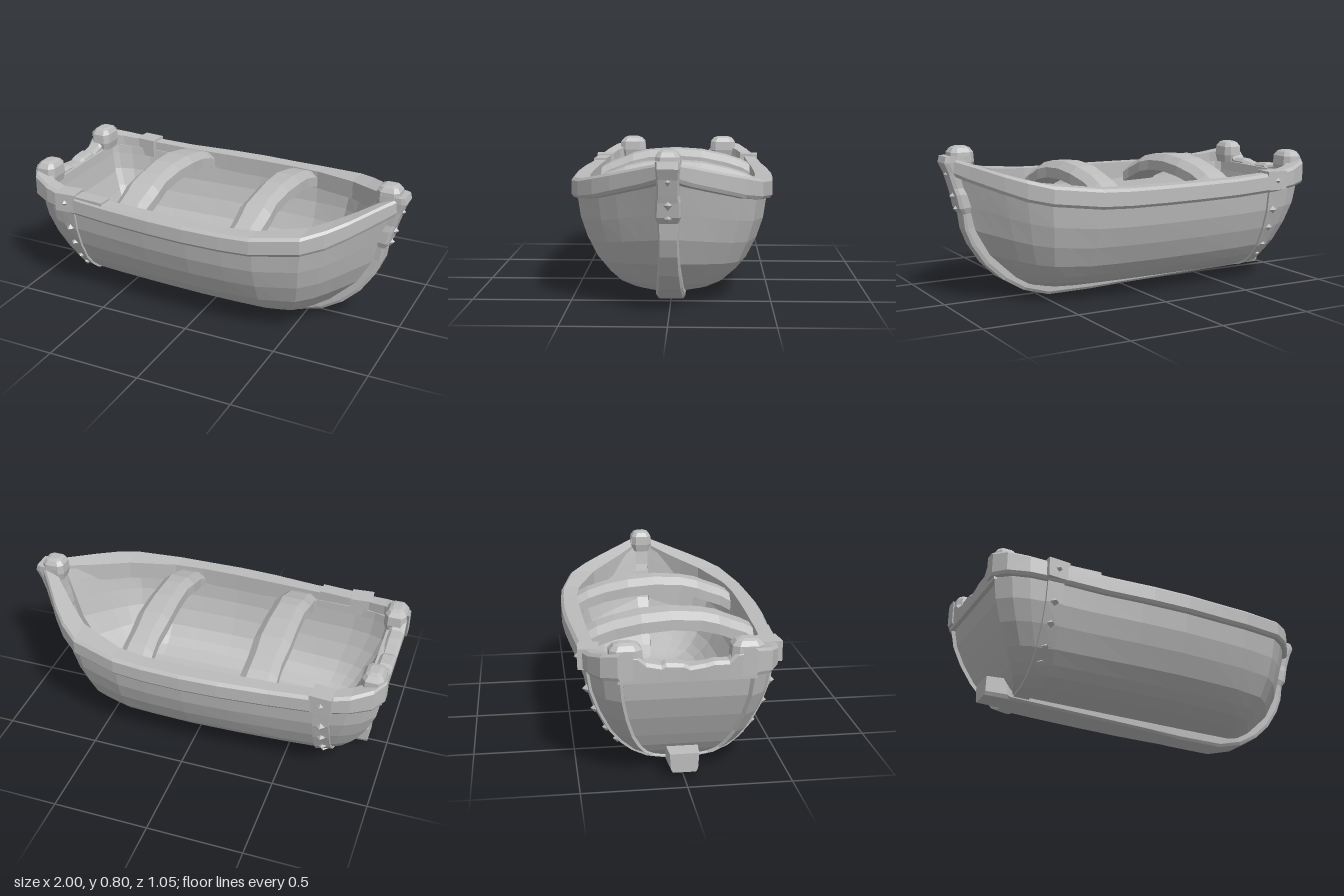
import * as THREE from 'three';

// Rail stations: x, outer half-width, inner half-width, top y, bottom y
const RAIL = [
  [-0.998, 0.32, 0.25, 0.67, 0.54], [-0.95, 0.395, 0.29, 0.655, 0.53], [-0.85, 0.445, 0.36, 0.63, 0.52],
  [-0.72, 0.475, 0.4, 0.61, 0.51], [-0.45, 0.495, 0.415, 0.6, 0.5], [-0.2, 0.517, 0.425, 0.6, 0.5],
  [0, 0.525, 0.43, 0.6, 0.5], [0.2, 0.52, 0.43, 0.6, 0.5], [0.36, 0.51, 0.41, 0.605, 0.505],
  [0.6, 0.45, 0.31, 0.63, 0.53], [0.7, 0.37, 0.22, 0.655, 0.55], [0.78, 0.28, 0.14, 0.68, 0.58],
  [0.9, 0.12, 0.02, 0.725, 0.63], [0.96, 0.045, 0, 0.745, 0.66],
];
// Hull rows: nominal y, width factor, stern x, bow x
const ROWS = [
  [0.55, 1, -0.985, 0.94], [0.5, 0.99, -0.98, 0.92], [0.4, 0.96, -0.963, 0.885], [0.3, 0.89, -0.925, 0.85],
  [0.2, 0.785, -0.875, 0.785], [0.14, 0.68, -0.84, 0.71], [0.1, 0.58, -0.81, 0.66],
  [0.068, 0.42, -0.78, 0.6], [0.054, 0.2, -0.76, 0.57], [0.05, 0, -0.76, 0.56],
];

function sample(table, x, col) {
  let i = 0;
  while (i < table.length - 2 && x > table[i + 1][0]) i++;
  const a = table[i], b = table[i + 1];
  const t = Math.min(1, Math.max(0, (x - a[0]) / (b[0] - a[0])));
  return a[col] + (b[col] - a[col]) * t;
}

// Joins closed rings into a capped solid, faces outward
function loft(rings) {
  const n = rings[0].length, tris = [], pos = [];
  const quad = (a, b, c, d) => tris.push([a, b, c], [a, c, d]);
  for (let r = 0; r < rings.length - 1; r++) {
    for (let i = 0; i < n; i++) {
      const j = (i + 1) % n;
      quad(rings[r][i], rings[r][j], rings[r + 1][j], rings[r + 1][i]);
    }
  }
  const first = rings[0], last = rings[rings.length - 1];
  for (let i = 0; i < n / 2 - 1; i++) {
    const k = n - 1 - i;
    quad(first[k], first[k - 1], first[i + 1], first[i]);
    quad(last[i], last[i + 1], last[k - 1], last[k]);
  }
  let volume = 0;
  const [A, B, C] = [new THREE.Vector3(), new THREE.Vector3(), new THREE.Vector3()];
  for (const t of tris) {
    volume += A.fromArray(t[0]).dot(B.fromArray(t[1]).cross(C.fromArray(t[2])));
  }
  for (const t of tris) pos.push(...t[0], ...(volume > 0 ? t[1] : t[2]), ...(volume > 0 ? t[2] : t[1]));
  const g = new THREE.BufferGeometry();
  g.setAttribute('position', new THREE.Float32BufferAttribute(pos, 3));
  g.computeVertexNormals();
  return g;
}

// Point on the hull skin; X is the station at rail height
function hullPoint(X, row, side, inner) {
  const [y, f, xs, xb] = row;
  const sternX = xs + (inner ? 0.05 : 0), bowX = xb - (inner ? 0.07 : 0);
  let x = X;
  if (X > 0.4) x = 0.4 + (X - 0.4) * (bowX - 0.4) / 0.54;
  if (X < -0.5) x = -0.5 + (X + 0.5) * (sternX + 0.5) / -0.485;
  const w = (sample(RAIL, X, 1) - 0.027) * (inner ? 0.88 : 1);
  const top = sample(RAIL, X, 4) + 0.05, base = inner ? 0.11 : 0.05;
  return [x, base + (top - base) * (y - 0.05) / 0.5, side * w * f];
}

// Same skin, found by its real x instead of its station
function skinAt(x, row, side) {
  const X = -0.5 - (x + 0.5) * 0.485 / (row[2] + 0.5);
  return hullPoint(Math.max(-0.985, X), row, side, false);
}

export function createModel() {
  const boat = new THREE.Group();
  boat.name = 'rowingBoat';
  const wood = new THREE.MeshStandardMaterial({ color: 0xbcbcbc, flatShading: true });
  wood.name = 'greyWood';
  const add = (name, geometry) => {
    const mesh = new THREE.Mesh(geometry, wood);
    mesh.name = name;
    boat.add(mesh);
    return mesh;
  };
  // Every hull row from the +z rail under the keel to the -z rail
  const girth = [...ROWS.map(r => [r, 1]), ...ROWS.slice(0, -1).reverse().map(r => [r, -1])];

  // Hull shell
  const stations = [-0.985, -0.92, -0.84, -0.72, -0.5, -0.25, 0, 0.2, 0.36, 0.5, 0.6, 0.7, 0.78, 0.85, 0.9, 0.94];
  add('hull', loft(stations.map(X => [
    ...girth.map(([r, s]) => hullPoint(X, r, s, false)),
    ...[...girth].reverse().map(([r, s]) => hullPoint(X, r, s, true)),
  ])));

  // Transom, slightly recessed inside the hull rim
  add('transom', loft(ROWS.map(r => {
    const [x, y, z] = hullPoint(-0.985, r, 1, false);
    const w = Math.max(0, z - 0.015), yy = y + (r[1] === 0 ? 0.01 : 0);
    return [[x + 0.015, yy, w], [x + 0.015, yy, -w], [x + 0.09, yy, -w], [x + 0.09, yy, w]];
  })));

  // Worn, notched beam across the transom
  const notches = [[-0.32, 0.665], [-0.23, 0.65], [-0.19, 0.615], [-0.12, 0.6], [-0.1, 0.61], [-0.02, 0.605],
    [0.01, 0.59], [0.08, 0.6], [0.12, 0.61], [0.19, 0.61], [0.23, 0.65], [0.32, 0.665]];
  add('transomBeam', loft(notches.map(([z, y]) => [
    [-0.985, 0.52, z], [-0.99, y - 0.015, z], [-0.975, y, z], [-0.925, y, z], [-0.91, y - 0.015, z], [-0.91, 0.52, z],
  ])));

  // Rounded post heads
  const knob = (name, x, z, y0, y1, sx, sz) => {
    const h = y1 - y0;
    add(name, loft([[0, 0.85], [0.35, 1], [0.75, 0.95], [0.93, 0.7], [1, 0.4]].map(([t, s]) =>
      [[-1, -0.6], [-0.6, -1], [0.6, -1], [1, -0.6], [1, 0.6], [0.6, 1], [-0.6, 1], [-1, 0.6]]
        .map(([a, b]) => [x + a * s * sx, y0 + h * t, z + b * s * sz]))));
  };
  knob('stemHead', 0.9, 0, 0.68, 0.8, 0.062, 0.06);

  for (const s of [1, -1]) {
    const label = s > 0 ? 'Front' : 'Back';
    // Gunwale rail
    add('rail' + label, loft(RAIL.map(([x, o, i, t, b]) => [
      [x, b, s * (o - 0.012)], [x, b + 0.015, s * o], [x, t - 0.015, s * o],
      [x, t, s * (o - 0.015)], [x, t, s * i], [x, b, s * i],
    ])));
    knob('sternPost' + label, -0.93, s * 0.28, 0.58, 0.705, 0.058, 0.078);
    // Clamp over the rail
    const clamp = add('railClamp' + label, new THREE.BoxGeometry(0.115, 0.1, 0.1));
    clamp.position.set(-0.715, 0.57, s * 0.433);
    clamp.rotation.y = s * 0.08;
    add('clampRivet' + label, new THREE.OctahedronGeometry(0.018)).position.set(-0.715, 0.57, s * 0.482);
    // Rivets down the strap
    for (const k of [2, 3, 4, 5]) {
      const p = skinAt(-0.715, ROWS[k], s);
      add('strapRivet' + label, new THREE.OctahedronGeometry(0.023)).position.set(p[0], p[1], p[2] * 1.03);
    }
  }
  // Worn patch on one rail
  const patch = add('railPatch', new THREE.BoxGeometry(0.17, 0.03, 0.075));
  patch.position.set(-0.57, 0.597, 0.44);
  patch.rotation.y = -0.07;

  // Strap wrapped around the hull
  add('hullStrap', loft(girth.map(([r, s]) => {
    const a = skinAt(-0.755, r, s), b = skinAt(-0.675, r, s);
    const out = p => [p[0], 0.55 + (p[1] - 0.55) * 1.02, p[2] * 1.03];
    const sunk = p => [p[0], p[1] + 0.01, p[2] * 0.98];
    return [out(a), out(b), sunk(b), sunk(a)];
  })));

  // Benches, gently arched down to the rails
  const arch = [[-0.43, 0.59], [-0.37, 0.62], [-0.28, 0.648], [-0.15, 0.675], [0, 0.685],
    [0.15, 0.675], [0.24, 0.655], [0.3, 0.63], [0.37, 0.605], [0.425, 0.575]];
  [[-0.375, 0.097], [0.275, 0.087]].forEach(([c, half], n) => {
    add('bench' + (n + 1), loft(arch.map(([z, y], i) => {
      const w = half - (i % 3) * 0.004, b = y - 0.09;
      return [[c - w, b, z], [c - w, y - 0.035, z], [c - w + 0.04, y, z],
        [c + w - 0.04, y, z], [c + w, y - 0.035, z], [c + w, b, z]];
    })));
  });

  // Keel and stem: outer x, y, inner x, y, half-width
  const spine = [
    [-0.9, 0.03, -0.9, 0.125, 0.065], [-0.79, 0.03, -0.79, 0.13, 0.072], [-0.77, 0.028, -0.77, 0.09, 0.07],
    [0, 0.008, 0, 0.075, 0.07], [0.2, 0, 0.2, 0.075, 0.07], [0.45, 0, 0.45, 0.085, 0.072],
    [0.59, 0.04, 0.53, 0.11, 0.07], [0.7, 0.105, 0.61, 0.16, 0.062], [0.79, 0.19, 0.7, 0.24, 0.054],
    [0.86, 0.295, 0.77, 0.33, 0.048], [0.895, 0.38, 0.81, 0.4, 0.046], [0.905, 0.46, 0.83, 0.47, 0.05],
    [0.925, 0.49, 0.83, 0.5, 0.06], [0.94, 0.56, 0.84, 0.56, 0.058], [0.95, 0.59, 0.85, 0.6, 0.05],
    [0.975, 0.67, 0.86, 0.67, 0.052], [0.998, 0.72, 0.865, 0.72, 0.056], [0.99, 0.752, 0.87, 0.752, 0.056],
  ];
  add('keelAndStem', loft(spine.map(([xo, yo, xi, yi, w]) => {
    const xm = xo + (xi - xo) * 0.18, ym = yo + (yi - yo) * 0.18;
    return [[xi, yi, w * 1.08], [xm, ym, w], [xo, yo, w * 0.85], [xo, yo, -w * 0.85], [xm, ym, -w], [xi, yi, -w * 1.08]];
  })));
  // Stem rivets
  for (const [x, y] of [[0.962, 0.66], [0.934, 0.55], [0.917, 0.485]]) {
    add('stemRivet', new THREE.OctahedronGeometry(0.025)).position.set(x, y, 0);
  }
  return boat;
}
